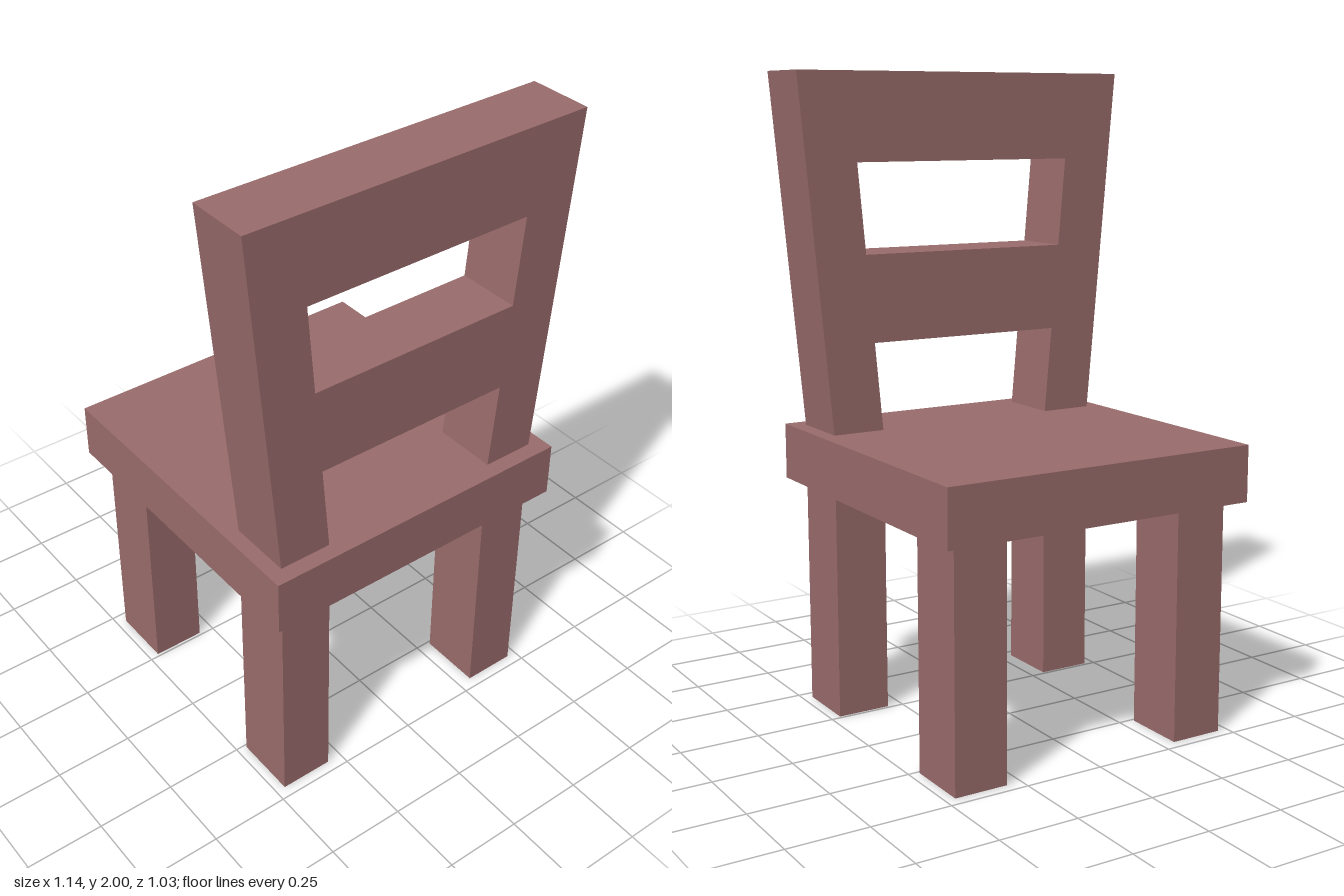
import * as THREE from 'three';

export function createModel() {
  const group = new THREE.Group();
  const wood = new THREE.MeshStandardMaterial({ color: 0x9b6c6c });
  wood.name = 'rosy wood';

  const SEAT_BOTTOM = 0.73, SEAT_TOP = 0.905;
  const LEG_X = 0.383, LEG_Z = 0.362, LEG_W = 0.17, LEG_D = 0.205;

  const addMesh = (name, geometry, x, y, z) => {
    const mesh = new THREE.Mesh(geometry, wood);
    mesh.name = name;
    mesh.position.set(x, y, z);
    group.add(mesh);
  };

  // Seat slab
  const seatHeight = SEAT_TOP - SEAT_BOTTOM;
  addMesh('seat', new THREE.BoxGeometry(1.032, seatHeight, 1.032), 0, SEAT_BOTTOM + seatHeight / 2, 0);

  // Four square legs
  const legGeometry = new THREE.BoxGeometry(LEG_W, SEAT_BOTTOM, LEG_D);
  for (const [end, sz] of [['front', 1], ['back', -1]]) {
    for (const [side, sx] of [['Left', 1], ['Right', -1]]) {
      addMesh(`${end}${side}Leg`, legGeometry, sx * LEG_X, SEAT_BOTTOM / 2, sz * LEG_Z);
    }
  }

  // Flared backrest: two posts joined by a middle and a top rail
  const outerX = (y) => 0.468 + (y - SEAT_TOP) * 0.0913;
  const innerX = (y) => outerX(y) - 0.168;
  const points = (list) => list.map(([x, y]) => new THREE.Vector2(x, y));
  const RAIL_BOTTOM = 1.18, RAIL_TOP = 1.452, TOP_RAIL_BOTTOM = 1.73, TOP = 2;

  const outline = new THREE.Shape(points([
    [-outerX(SEAT_TOP), SEAT_TOP], [-innerX(SEAT_TOP), SEAT_TOP],
    [-innerX(RAIL_BOTTOM), RAIL_BOTTOM], [innerX(RAIL_BOTTOM), RAIL_BOTTOM],
    [innerX(SEAT_TOP), SEAT_TOP], [outerX(SEAT_TOP), SEAT_TOP],
    [outerX(TOP), TOP], [-outerX(TOP), TOP],
  ]));
  outline.holes.push(new THREE.Path(points([
    [-innerX(RAIL_TOP), RAIL_TOP], [-innerX(TOP_RAIL_BOTTOM), TOP_RAIL_BOTTOM],
    [innerX(TOP_RAIL_BOTTOM), TOP_RAIL_BOTTOM], [innerX(RAIL_TOP), RAIL_TOP],
  ])));
  const backGeometry = new THREE.ExtrudeGeometry(outline, { depth: LEG_D, bevelEnabled: false });
  addMesh('backrest', backGeometry, 0, 0, LEG_Z - LEG_D / 2);

  return group;
}
